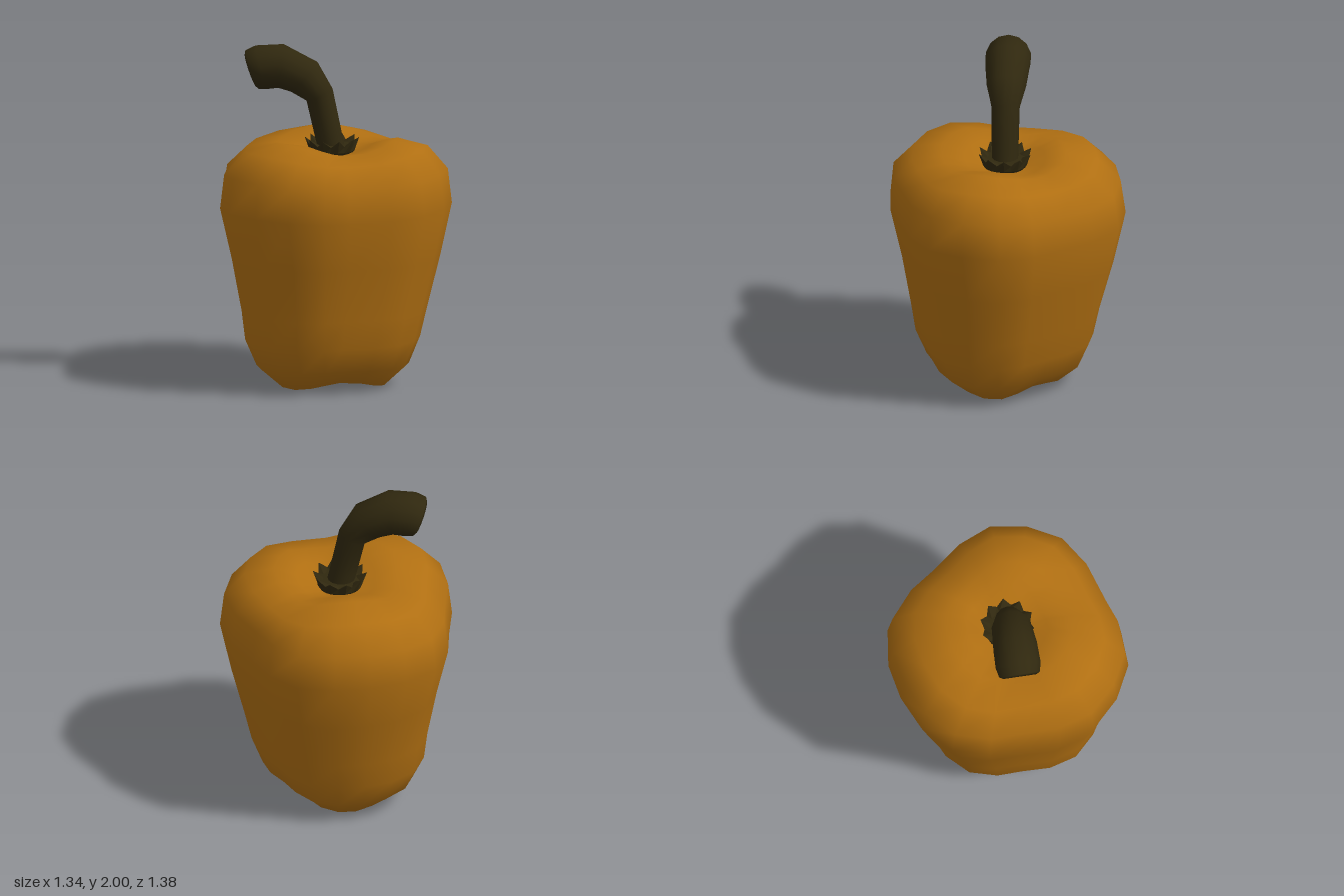
import * as THREE from 'three';

const TAU = Math.PI * 2;

// Skin a list of closed rings (each an array of Vector3, listed from base to tip).
function loft(rings, color, name, flat = false) {
  const n = rings[0].length, pos = [], idx = [];
  rings.forEach(r => r.forEach(p => pos.push(p.x, p.y, p.z)));
  for (let i = 0; i < rings.length - 1; i++) {
    for (let j = 0; j < n; j++) {
      const k = (j + 1) % n;
      const a = i * n + j, b = a + n, c = i * n + k, d = c + n;
      idx.push(a, b, c, c, b, d);
    }
  }
  const geo = new THREE.BufferGeometry();
  geo.setAttribute('position', new THREE.Float32BufferAttribute(pos, 3));
  geo.setIndex(idx);
  geo.computeVertexNormals();
  const mat = new THREE.MeshStandardMaterial({ color, flatShading: flat, side: THREE.DoubleSide });
  const mesh = new THREE.Mesh(geo, mat);
  mesh.name = name;
  return mesh;
}

// Three-lobed fruit: one widest outline, scaled up a height profile.
function makeBody() {
  const outline = [
    [0.67, 0.01], [0.635, 0.23], [0.53, 0.43], [0.35, 0.55], [0.1, 0.63],
    [-0.04, 0.68], [-0.25, 0.69], [-0.45, 0.59], [-0.61, 0.43], [-0.67, 0.22],
    [-0.665, 0.01], [-0.67, -0.19], [-0.61, -0.4], [-0.45, -0.56], [-0.25, -0.65],
    [-0.04, -0.69], [0.18, -0.66], [0.35, -0.52], [0.46, -0.36], [0.59, -0.19],
  ];
  // [height, scale, lobe height, x shift, z shift]
  const profile = [
    [0.09, 0, 0, -0.02, 0.02],
    [0.08, 0.15, 0, -0.02, 0.02],
    [0.045, 0.32, -0.02, -0.02, 0.02],
    [0.025, 0.47, -0.025, -0.02, 0.01],
    [0.13, 0.66, -0.01, -0.02, 0.02],
    [0.28, 0.755, 0, -0.02, 0.02],
    [0.45, 0.8, 0, -0.01, 0.015],
    [0.76, 0.9, 0, 0, 0],
    [1.06, 1, 0.01, 0, 0],
    [1.26, 0.965, 0.015, 0, 0.005],
    [1.39, 0.79, 0.025, 0, 0.015],
    [1.43, 0.53, 0.03, 0, 0.02],
    [1.405, 0.34, 0.025, 0, 0.01],
    [1.365, 0.2, 0.005, -0.01, 0.01],
    [1.36, 0, 0, -0.02, 0.01],
  ];
  const rings = profile.map(([y, s, lobe, dx, dz]) => outline.map(([x, z]) => {
    const lift = Math.cos(3 * (Math.atan2(z, x) - Math.PI / 12));
    return new THREE.Vector3(x * s + dx, y + lobe * lift, z * s + dz);
  }));
  return loft(rings, 0xb06f12, 'body');
}

// Curved stem that thickens towards a cut, slightly hollow end.
function makeStem() {
  // [x, y, radius, lean from vertical towards -x]
  const path = [
    [-0.02, 1.34, 0.077, 0.2],
    [-0.048, 1.46, 0.079, 0.2],
    [-0.1, 1.7, 0.084, 0.45],
    [-0.19, 1.805, 0.118, 0.85],
    [-0.325, 1.868, 0.131, 1.45],
    [-0.435, 1.86, 0.134, 1.85],
    [-0.49, 1.845, 0.122, 1.92],
    [-0.502, 1.84, 0.1, 1.92],
    [-0.485, 1.845, 0.085, 1.92],
    [-0.48, 1.847, 0, 1.92],
  ];
  const sides = 14;
  const rings = path.map(([x, y, r, lean]) => Array.from({ length: sides }, (_, j) => {
    const a = j / sides * TAU, u = r * Math.cos(a);
    return new THREE.Vector3(x + u * Math.cos(lean), y + u * Math.sin(lean), 0.012 + r * Math.sin(a));
  }));
  return loft(rings, 0x30280f, 'stem');
}

// Toothed collar around the foot of the stem.
function makeCalyx() {
  const teeth = 10;
  // [valley radius, valley height, tip radius, tip height]
  const profile = [
    [0.11, 1.34, 0.11, 1.34],
    [0.132, 1.375, 0.132, 1.375],
    [0.134, 1.41, 0.158, 1.45],
    [0.1, 1.41, 0.1, 1.41],
    [0, 1.41, 0, 1.41],
  ];
  const rings = profile.map(([r0, y0, r1, y1]) => Array.from({ length: teeth * 2 }, (_, j) => {
    const a = j / (teeth * 2) * TAU, tip = j % 2 === 0;
    const r = tip ? r1 : r0;
    return new THREE.Vector3(-0.028 + r * Math.cos(a), tip ? y1 : y0, 0.012 + r * Math.sin(a));
  }));
  return loft(rings, 0x30280f, 'calyx', true);
}

export function createModel() {
  const model = new THREE.Group();
  model.name = 'bellPepper';
  model.add(makeBody(), makeCalyx(), makeStem());
  return model;
}
